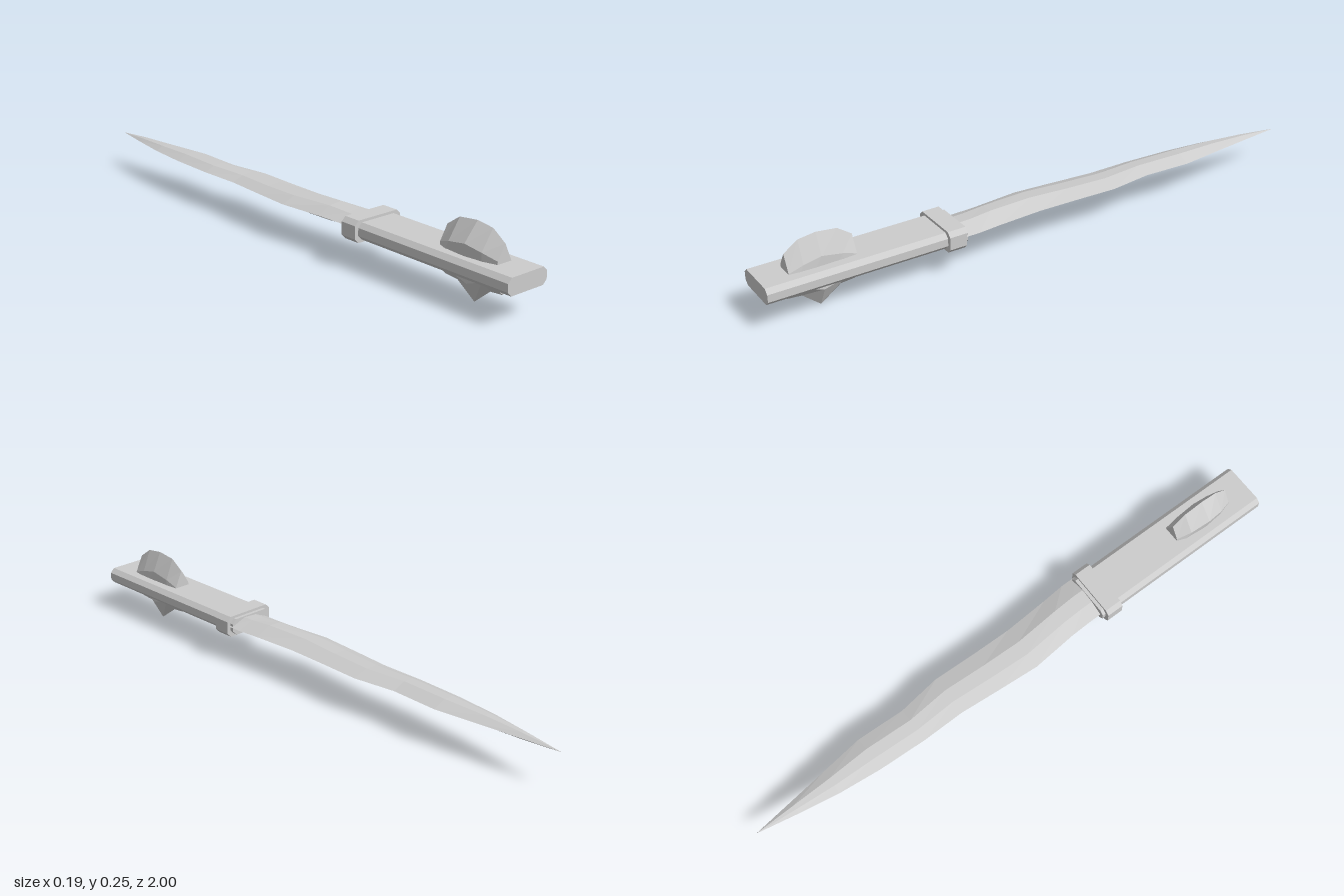
import * as THREE from 'three';

const MID = 0.127; // height of the long axis

// Loft equal-sized cross-sections, ordered from +z to -z, each counter-clockwise seen from +z
function loft(sections) {
  const pos = [];
  const n = sections[0].pts.length;
  const put = (i, j) => pos.push(...sections[i].pts[j % n], sections[i].z);
  const last = sections.length - 1;
  for (let i = 0; i < last; i++) {
    for (let j = 0; j < n; j++) {
      put(i, j); put(i + 1, j); put(i + 1, j + 1);
      put(i, j); put(i + 1, j + 1); put(i, j + 1);
    }
  }
  for (let j = 1; j < n - 1; j++) {
    put(0, 0); put(0, j); put(0, j + 1);
    put(last, 0); put(last, j + 1); put(last, j);
  }
  const geo = new THREE.BufferGeometry();
  geo.setAttribute('position', new THREE.Float32BufferAttribute(pos, 3));
  geo.computeVertexNormals();
  return geo;
}

// Bar with chamfered long edges
function chamferedBar(w, h, c, zFront, zBack) {
  const pts = [
    [w, h - c], [w - c, h], [c - w, h], [-w, h - c],
    [-w, c - h], [c - w, -h], [w - c, -h], [w, c - h],
  ].map(([x, y]) => [x, y + MID]);
  return loft([{ z: zFront, pts }, { z: zBack, pts }]);
}

export function createModel() {
  const model = new THREE.Group();
  model.name = 'dagger';
  const stone = new THREE.MeshStandardMaterial({ color: 0xcccccc, flatShading: true });
  stone.name = 'pale grey';
  const add = (name, geo) => {
    const mesh = new THREE.Mesh(geo, stone);
    mesh.name = name;
    model.add(mesh);
  };

  add('handle', chamferedBar(0.082, 0.028, 0.015, 1.0, 0.32));
  add('guard', chamferedBar(0.096, 0.0365, 0.015, 0.392, 0.332));

  // Wavy blade: z, left edge, right edge, half thickness
  const blade = [
    [0.34, -0.07, 0.087, 0.024], [0.28, -0.07, 0.087, 0.025], [0.2, -0.073, 0.08, 0.029],
    [0.04, -0.088, 0.07, 0.025], [-0.1, -0.078, 0.072, 0.02], [-0.25, -0.066, 0.077, 0.019],
    [-0.4, -0.068, 0.056, 0.02], [-0.57, -0.061, 0.062, 0.021], [-0.72, -0.046, 0.042, 0.017],
    [-0.86, -0.022, 0.024, 0.011], [-1.0, 0.005, 0.006, 0.0005],
  ];
  add('blade', loft(blade.map(([z, l, r, h]) => {
    const at = (t) => l + (r - l) * t;
    return {
      z,
      pts: [
        [r, MID + h * 0.1], [at(0.62), MID + h], [at(0.3), MID + h * 0.85],
        [l, MID], [at(0.3), MID - h * 0.85], [at(0.62), MID - h],
      ],
    };
  })));

  // Faceted crystal set through the handle: z, top, bottom, left, right, shoulder height
  const crystal = [
    [0.908, 0.213, 0.056, -0.024, 0.033, 0.165],
    [0.86, 0.247, 0.052, -0.04, 0.036, 0.182],
    [0.8, 0.255, 0.002, -0.048, 0.037, 0.195],
    [0.73, 0.247, 0.052, -0.04, 0.036, 0.182],
    [0.682, 0.213, 0.056, -0.024, 0.033, 0.165],
  ];
  add('crystal', loft(crystal.map(([z, top, bottom, l, r, s]) => ({
    z,
    pts: [[r, s - 0.008], [0.005, top], [l, s], [-0.034, s > 0.19 ? 0.068 : 0.09],
      [0.004, bottom], [0.042, s > 0.19 ? 0.073 : 0.092]],
  }))));

  return model;
}
